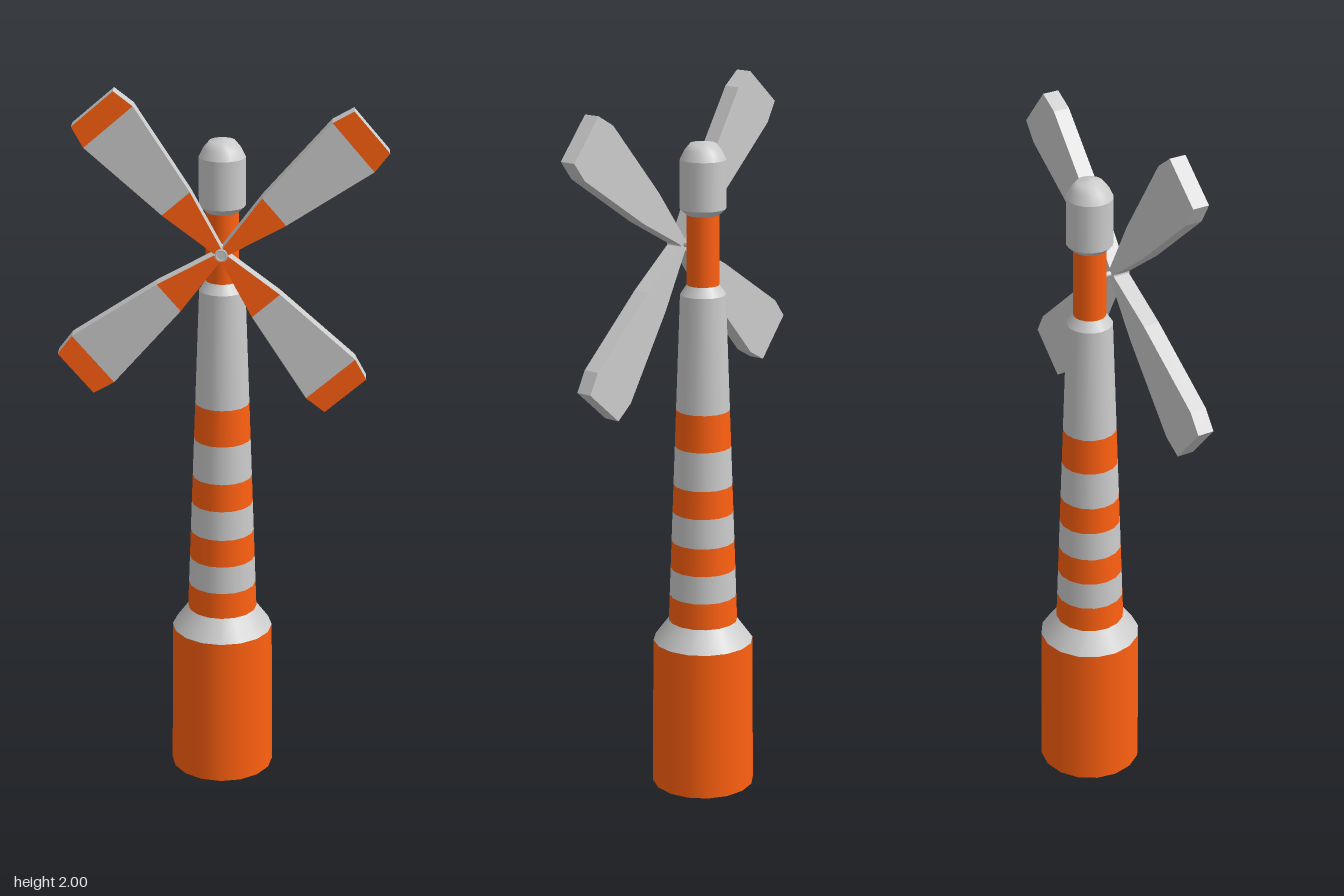
import * as THREE from 'three';

const SIDES = 16;
const grey = new THREE.MeshStandardMaterial({ color: 0xcccccc });
const orange = new THREE.MeshStandardMaterial({ color: 0xff6010 });

function add(parent, name, geometry, material) {
  const mesh = new THREE.Mesh(geometry, material);
  mesh.name = name;
  parent.add(mesh);
  return mesh;
}

// Round tower section between two heights
function ring(parent, name, material, y0, r0, y1, r1, open = true) {
  const geo = new THREE.CylinderGeometry(r1, r0, y1 - y0, SIDES, 1, open);
  geo.translate(0, (y0 + y1) / 2, 0);
  return add(parent, name, geo, material);
}

// Flat shape symmetric about the blade axis, from [distance, halfWidth] stations
function bladeShape(stations) {
  const right = stations.map(([d, w]) => new THREE.Vector2(w, d));
  const left = stations.map(([d, w]) => new THREE.Vector2(-w, d)).reverse();
  return new THREE.Shape([...right, ...left]);
}

function createTower() {
  const tower = new THREE.Group();
  tower.name = 'tower';

  // Wide base drum with a grey underside and sloped shoulder
  ring(tower, 'base', orange, 0, 0.145, 0.43, 0.141);
  const floor = new THREE.CircleGeometry(0.145, SIDES).rotateX(Math.PI / 2);
  add(tower, 'baseUnderside', floor, grey);
  ring(tower, 'baseShoulder', grey, 0.43, 0.141, 0.49, 0.097);

  // Tapered shaft with alternating stripes
  const levels = [0.49, 0.565, 0.645, 0.725, 0.81, 0.89, 1.0, 1.105, 1.43];
  const radius = (y) => THREE.MathUtils.mapLinear(y, 0.49, 1.43, 0.097, 0.063);
  for (let i = 0; i < levels.length - 1; i++) {
    const [a, b] = [levels[i], levels[i + 1]];
    ring(tower, 'shaftStripe' + (i + 1), i % 2 ? grey : orange, a, radius(a), b, radius(b));
  }
  ring(tower, 'shaftTop', grey, 1.43, 0.063, 1.457, 0.045);

  // Narrow neck
  ring(tower, 'neck', orange, 1.457, 0.045, 1.65, 0.045);

  // Cap with chamfered bottom, straight wall and smooth dome
  ring(tower, 'capBottom', grey, 1.65, 0.045, 1.667, 0.063);
  ring(tower, 'capWall', grey, 1.667, 0.063, 1.8, 0.063);
  const dome = [[0.063, 1.8], [0.051, 1.825], [0.035, 1.844], [0, 1.849]];
  add(tower, 'capDome', new THREE.LatheGeometry(dome.map(([r, y]) => new THREE.Vector2(r, y)), SIDES), grey);
  return tower;
}

function createRotor() {
  const rotor = new THREE.Group();
  rotor.name = 'rotor';
  rotor.position.y = 1.56;
  const back = 0.063, front = 0.11;

  // Blade stations: root, root stripe end, widest line, tip
  const stations = [[0.015, 0.012], [0.184, 0.049], [0.454, 0.086], [0.517, 0.073]];
  const body = new THREE.ExtrudeGeometry(bladeShape(stations), { depth: front - back, bevelEnabled: false });
  body.translate(0, 0, back);
  const rootPaint = new THREE.ShapeGeometry(bladeShape(stations.slice(0, 2))).translate(0, 0, front + 0.001);
  const tipPaint = new THREE.ShapeGeometry(bladeShape(stations.slice(2))).translate(0, 0, front + 0.001);
  for (let i = 0; i < 4; i++) {
    const blade = new THREE.Group();
    blade.name = 'blade' + (i + 1);
    add(blade, 'bladeBody', body, grey);
    add(blade, 'rootStripe', rootPaint, orange);
    add(blade, 'tipStripe', tipPaint, orange);
    blade.rotation.z = THREE.MathUtils.degToRad(40.5 + 90 * i);
    rotor.add(blade);
  }

  // Axle into the neck, hub drum and a small raised nose ring
  const axle = new THREE.CylinderGeometry(0.008, 0.008, 0.06, 8).rotateX(Math.PI / 2).translate(0, 0, 0.06);
  add(rotor, 'axle', axle, grey);
  const hub = new THREE.CylinderGeometry(0.018, 0.018, 0.05, SIDES).rotateX(Math.PI / 2).translate(0, 0, 0.088);
  add(rotor, 'hub', hub, grey);
  add(rotor, 'hubRing', new THREE.TorusGeometry(0.014, 0.003, 6, SIDES).translate(0, 0, 0.112), grey);
  return rotor;
}

export function createModel() {
  const model = new THREE.Group();
  model.name = 'stripedWindTower';
  model.add(createTower(), createRotor());
  return model;
}
